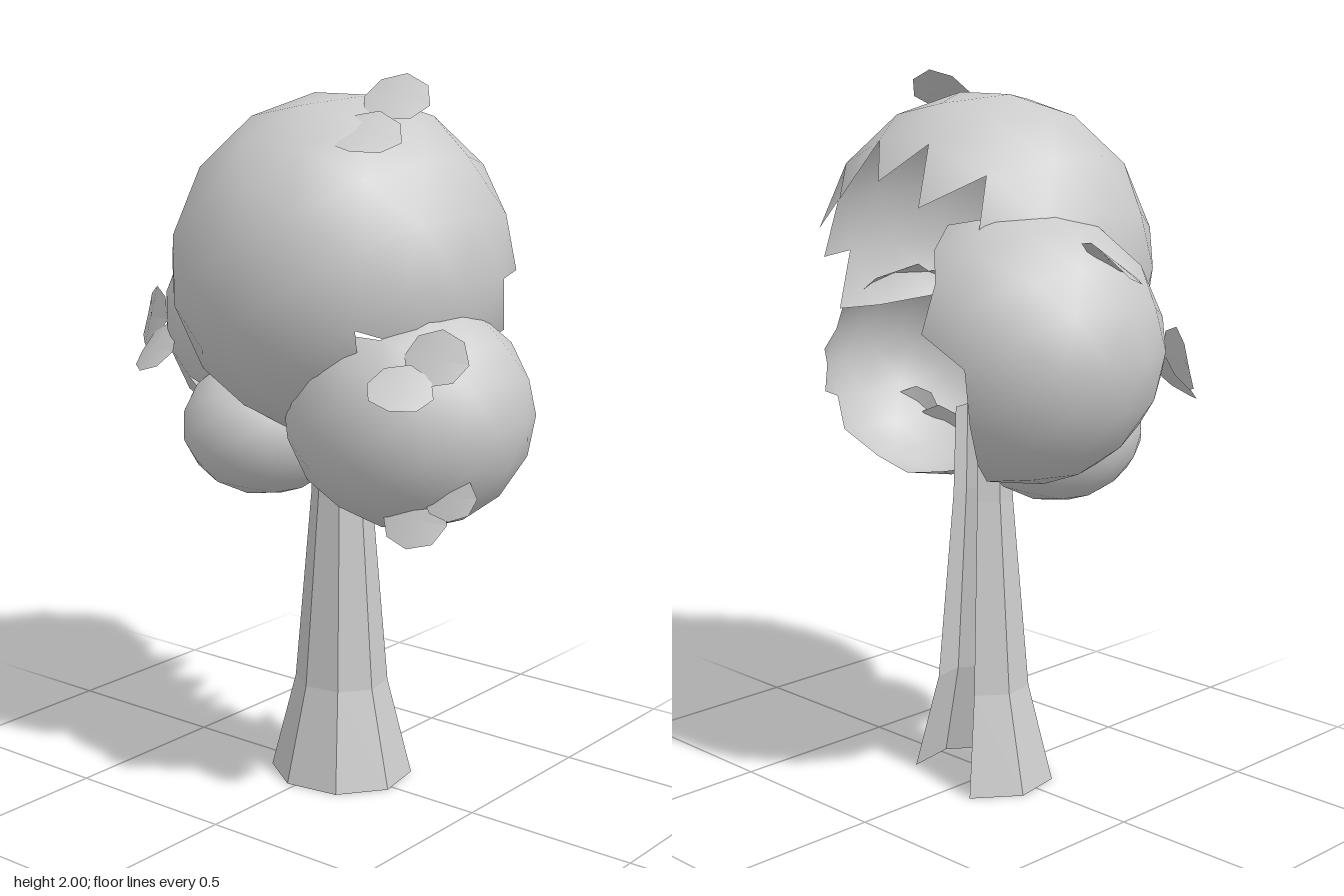
import * as THREE from 'three';

const smooth = new THREE.MeshStandardMaterial({ color: 0xcccccc, side: THREE.DoubleSide });
const flat = new THREE.MeshStandardMaterial({ color: 0xcccccc, side: THREE.DoubleSide, flatShading: true });

// Crown clumps: centre, radii, direction left open and how wide it stays closed
const clumps = [
  { name: 'mainFoliage', center: [0.065, 1.48, 0.03], radii: [0.472, 0.472, 0.462], open: [0.05, -0.42, -0.9], limit: 0.42 },
  { name: 'leftFoliage', center: [-0.225, 1.3, -0.12], radii: [0.385, 0.37, 0.372], open: [0.82, -0.2, -0.53], limit: 0.32 },
  { name: 'rightFoliage', center: [0.345, 1.13, 0.1], radii: [0.338, 0.312, 0.322], open: [-0.3, 0, -0.95], limit: 0.3 },
  { name: 'lowerFoliage', center: [-0.145, 1.03, 0.1], radii: [0.23, 0.2, 0.25], open: [0.3, 0.6, -0.74], limit: 0.4 },
];

// Distance from a clump's centre in units of its radii; below 1 is inside
function depth(point, { center, radii }) {
  return point.clone().sub(new THREE.Vector3(...center)).divide(new THREE.Vector3(...radii)).length();
}

// Hollow clump: a coarse ball without its open side and the faces buried in its neighbours
function buildClump(clump) {
  const src = new THREE.IcosahedronGeometry(1, 2).attributes.position;
  const open = new THREE.Vector3(...clump.open).normalize();
  const size = new THREE.Vector3(...clump.radii);
  const center = new THREE.Vector3(...clump.center);
  const positions = [], normals = [];
  for (let i = 0; i < src.count; i += 3) {
    const corners = [0, 1, 2].map(k => new THREE.Vector3().fromBufferAttribute(src, i + k));
    const middle = new THREE.Vector3();
    corners.forEach(c => middle.add(c));
    if (middle.normalize().dot(open) > clump.limit) continue;
    const place = middle.multiply(size).add(center);
    if (clumps.some(other => other !== clump && depth(place, other) < 0.85)) continue;
    for (const c of corners) {
      normals.push(...c.clone().divide(size).normalize().toArray());
      positions.push(...c.multiply(size).toArray());
    }
  }
  const geometry = new THREE.BufferGeometry();
  geometry.setAttribute('position', new THREE.Float32BufferAttribute(positions, 3));
  geometry.setAttribute('normal', new THREE.Float32BufferAttribute(normals, 3));
  const mesh = new THREE.Mesh(geometry, smooth);
  mesh.name = clump.name;
  mesh.position.copy(center);
  return mesh;
}

// Small loose leaf: a rounded disc bent along its middle
function leaf(center, facing, radius) {
  const geometry = new THREE.CircleGeometry(radius, 8);
  const p = geometry.attributes.position;
  for (let i = 0; i < p.count; i++) {
    p.setZ(i, -2 * p.getX(i) ** 2);
    p.setY(i, p.getY(i) * 0.88);
  }
  geometry.computeVertexNormals();
  const mesh = new THREE.Mesh(geometry, smooth);
  mesh.name = 'leaf';
  mesh.position.set(...center);
  mesh.quaternion.setFromUnitVectors(new THREE.Vector3(0, 0, 1), new THREE.Vector3(...facing).normalize());
  return mesh;
}

export function createModel() {
  const tree = new THREE.Group();
  tree.name = 'tree';

  // Flared eight-sided trunk with two sides missing at the back
  const profile = [[0.208, 0], [0.136, 0.28], [0.088, 0.83], [0.08, 1.08]]
    .map(([r, y]) => new THREE.Vector2(r, y));
  const trunk = new THREE.Mesh(
    new THREE.LatheGeometry(profile, 6, THREE.MathUtils.degToRad(212), Math.PI * 1.5), flat);
  trunk.name = 'trunk';
  trunk.position.set(0.022, 0, -0.022);
  trunk.scale.z = 0.93;
  tree.add(trunk);

  // Crown of four overlapping open clumps
  for (const clump of clumps) tree.add(buildClump(clump));

  // Loose leaves around the crown
  const leaves = new THREE.Group();
  leaves.name = 'leaves';
  const placements = [
    [[0.27, 1.945, 0.07], [0.2, 0.75, 0.65], 0.095],
    [[0.28, 1.865, 0.21], [0.2, 0.85, 0.5], 0.1],
    [[-0.565, 1.56, -0.145], [-0.3, 0.8, 0.5], 0.1],
    [[-0.59, 1.285, 0.1], [-0.5, 0.25, 0.83], 0.1],
    [[-0.495, 1.215, 0.19], [-0.3, 0.6, 0.7], 0.09],
    [[0.53, 1.265, 0.39], [0.3, 0.8, 0.55], 0.088],
    [[0.57, 1.33, 0.3], [0.2, 0.5, 0.8], 0.088],
    [[0.5, 0.905, 0.29], [0.2, 0.4, 0.9], 0.09],
    [[0.585, 0.965, 0.25], [0.5, 0.1, 0.85], 0.07],
  ];
  for (const [center, facing, radius] of placements) leaves.add(leaf(center, facing, radius));
  tree.add(leaves);

  return tree;
}
